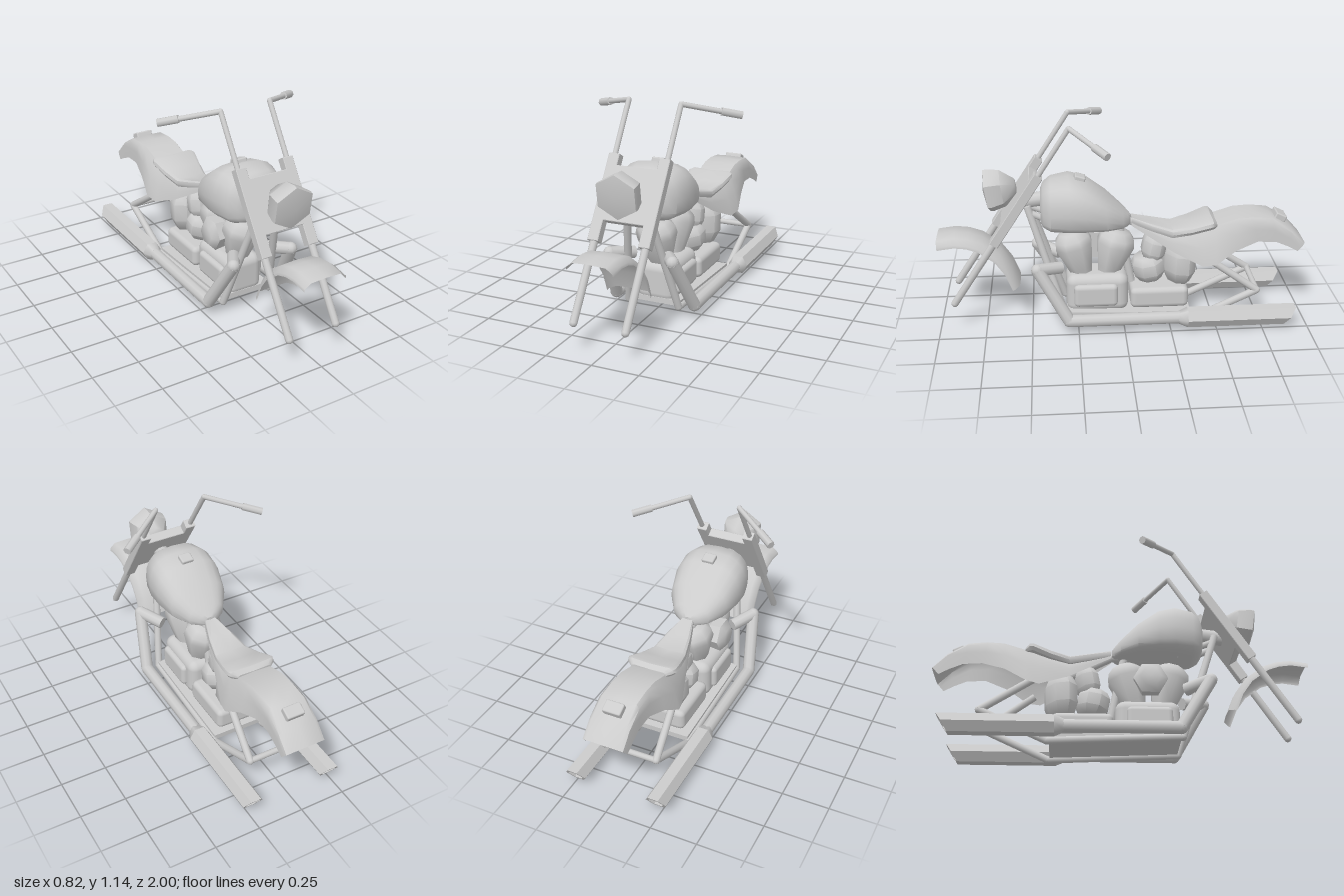
import * as THREE from 'three';
import { toCreasedNormals } from 'three/addons/utils/BufferGeometryUtils.js';
import { RoundedBoxGeometry } from 'three/addons/geometries/RoundedBoxGeometry.js';

const V = (x, y, z) => new THREE.Vector3(x, y, z);
const solid = new THREE.MeshStandardMaterial({ color: 0xcccccc });
const thin = new THREE.MeshStandardMaterial({ color: 0xcccccc, side: THREE.DoubleSide });

export function createModel() {
  const model = new THREE.Group();

  const add = (name, geo, pos = [0, 0, 0], rot = [0, 0, 0], mat = solid) => {
    const mesh = new THREE.Mesh(geo, mat);
    mesh.name = name;
    mesh.position.set(...pos);
    mesh.rotation.set(...rot);
    model.add(mesh);
    return mesh;
  };

  // Skin over rings listed front to back, each counter-clockwise seen from the front
  const loft = (rings, closed = true, crease = 0.7) => {
    const n = rings[0].length, pos = [], idx = [];
    rings.forEach(r => r.forEach(p => pos.push(p.x, p.y, p.z)));
    for (let j = 0; j < rings.length - 1; j++) {
      for (let i = 0; i < (closed ? n : n - 1); i++) {
        const a = j * n + i, b = j * n + (i + 1) % n;
        idx.push(a, a + n, b, b, a + n, b + n);
      }
    }
    if (closed) {
      const last = (rings.length - 1) * n;
      for (let i = 1; i < n - 1; i++) idx.push(0, i, i + 1, last, last + i + 1, last + i);
    }
    const g = new THREE.BufferGeometry();
    g.setAttribute('position', new THREE.Float32BufferAttribute(pos, 3));
    g.setIndex(idx);
    return toCreasedNormals(g, crease);
  };

  // Straight tubes through a list of points, with round joints
  const rod = (name, pts, r, sides = 10) => {
    pts.forEach((p, i) => {
      if (i > 0 && i < pts.length - 1) add(name + 'Joint', new THREE.SphereGeometry(r, sides, 8), p.toArray());
      if (i === 0) return;
      const d = p.clone().sub(pts[i - 1]);
      const seg = add(name, new THREE.CylinderGeometry(r, r, d.length(), sides),
        p.clone().add(pts[i - 1]).multiplyScalar(0.5).toArray());
      seg.quaternion.setFromUnitVectors(V(0, 1, 0), d.normalize());
    });
  };

  // Few-sided turned part, profile as [radius, height]
  const turned = (name, profile, sides, pos, rot, scale = [1, 1, 1]) => {
    const geo = new THREE.LatheGeometry(profile.map(p => new THREE.Vector2(...p)), sides);
    add(name, toCreasedNormals(geo, 0.9), pos, rot).scale.set(...scale);
  };

  // Fork plate with two arms up and two legs down
  const outline = [[-.165, 0], [-.112, 0], [-.112, .107], [.112, .107], [.112, 0], [.165, 0], [.165, .448],
    [.112, .448], [.112, .388], [-.112, .388], [-.112, .448], [-.165, .448]];
  const plate = new THREE.ExtrudeGeometry(new THREE.Shape(outline.map(p => new THREE.Vector2(...p))),
    { depth: 0.045, bevelEnabled: true, bevelSize: 0.003, bevelThickness: 0.003, bevelSegments: 1 });
  plate.translate(0, 0, -0.0225);
  add('forkPlate', plate, [0, 0.51, 0.69], [-0.579, 0, 0]);

  // Headlight
  turned('headlight', [[0, -.105], [.045, -.1], [.105, -.03], [.12, .035], [.118, .055], [0, .075]], 6,
    [0, 0.765, 0.668], [Math.PI / 2 + 0.15, 0, 0]);

  // Steering neck
  rod('steeringNeck', [V(0, .69, .56), V(0, .71, .4)], 0.04);

  for (const s of [-1, 1]) {
    // Fork tubes, handlebar and grip
    rod('forkTube', [V(s * .14, .165, .915), V(s * .14, .54, .67)], 0.02);
    add('forkTip', new THREE.SphereGeometry(0.02, 10, 8), [s * .14, .165, .915]);
    const bend = V(s * .145, 1.138, .283), end = V(s * .4, 1.068, .1);
    rod('handlebar', [V(s * .145, .86, .463), bend, end], 0.014);
    rod('grip', [bend.clone().lerp(end, 0.66), end], 0.021, 8);

    // Frame: down tube, bottom rail, rear triangle
    rod('frameRail', [V(s * .05, .68, .51), V(s * .145, .06, .315), V(s * .15, .028, -.38),
      V(s * .148, .19, -.73), V(s * .12, .375, -.46)], 0.02);
    rod('frontFrameTube', [V(s * .05, .64, .49), V(s * .06, .56, .3)], 0.018);

    // Exhaust pipe and open muffler with a slanted end
    rod('exhaustPipe', [V(s * .1, .34, .34), V(s * .178, .365, .465), V(s * .228, .08, .3), V(s * .228, .08, -.31)], 0.034);
    const hex = (Path, r) => new Path(Array.from({ length: 6 }, (_, i) =>
      new THREE.Vector2(r * Math.cos(i * Math.PI / 3), r * Math.sin(i * Math.PI / 3))));
    const shape = hex(THREE.Shape, 0.056);
    shape.holes.push(hex(THREE.Path, 0.042));
    const muffler = new THREE.ExtrudeGeometry(shape, { depth: 0.59, bevelEnabled: false });
    const p = muffler.attributes.position;
    for (let i = 0; i < p.count; i++) {
      if (p.getZ(i) < 0.01) p.setZ(i, (0.048 - p.getY(i)) * 0.64);
    }
    muffler.computeVertexNormals();
    add('muffler', muffler, [s * .23, .08, -.93]);
    const cone = new THREE.CylinderGeometry(0.034, 0.056, 0.05, 6).rotateY(Math.PI / 2).rotateX(Math.PI / 2);
    add('mufflerCone', cone, [s * .23, .08, -.315]);
  }
  rod('rearCrossbar', [V(-.15, .19, -.73), V(.15, .19, -.73)], 0.016);

  // Fuel tank: [z, half width, bottom, top]
  const pw = (v, e) => Math.sign(v) * Math.abs(v) ** e;
  const tank = [[.44, .1, .585, .75], [.425, .135, .565, .785], [.385, .17, .548, .815], [.29, .193, .545, .832],
    [.2, .192, .545, .808], [.09, .166, .545, .728], [0, .105, .545, .645], [-.03, .06, .547, .616], [-.045, .03, .555, .6]]
    .map(([z, w, b, t]) => Array.from({ length: 20 }, (_, i) => {
      const a = i / 20 * Math.PI * 2, m = b + (t - b) * 0.42, sn = Math.sin(a);
      return V(w * pw(Math.cos(a), .65), m + (sn > 0 ? t - m : m - b) * pw(sn, sn > 0 ? .85 : .5), z);
    }));
  add('fuelTank', loft(tank));
  add('tankCap', new RoundedBoxGeometry(.07, .035, .06, 2, .008), [0, .817, .228], [-.3, 0, 0]);

  // Front fender: arc in (z, y) with a turned-down lip
  const arc = [[1, .515], [.905, .527], [.83, .518], [.757, .492], [.66, .42], [.6, .335], [.56, .235]];
  const lip = [[.122, .045], [.12, .03], [.088, .004], [0, 0], [-.088, .004], [-.12, .03], [-.122, .045]];
  add('frontFender', loft(arc.map(([z, y], i) => {
    const a = arc[Math.max(i - 1, 0)], b = arc[Math.min(i + 1, arc.length - 1)];
    const l = Math.hypot(b[0] - a[0], b[1] - a[1]), tz = (b[0] - a[0]) / l, ty = (b[1] - a[1]) / l;
    return lip.map(([x, d]) => V(x, y + tz * d, z - ty * d));
  }), false, 1), [0, 0, 0], [0, 0, 0], thin);

  // Rear fender: [top z, top y, bottom z, bottom y, top half width, bottom half width]
  const rear = [[-.05, .575, -.05, .545, .03, .035], [-.27, .505, -.28, .405, .075, .1], [-.43, .535, -.43, .34, .1, .15],
    [-.5, .56, -.5, .355, .11, .166], [-.62, .597, -.61, .425, .11, .142], [-.71, .602, -.73, .465, .11, .118],
    [-.81, .592, -.83, .46, .11, .115], [-.92, .525, -.9, .43, .11, .115], [-.995, .445, -.955, .4, .11, .115]]
    .map(([zt, yt, zb, yb, wt, wb]) => {
      const at = (x, k) => V(x, yt + (yb - yt) * k, zt + (zb - zt) * k);
      const half = [[wb, 1], [wt + (wb - wt) * .6, .5], [wt, .16], [wt * .85, .02]];
      return [...half.map(h => at(...h)), at(0, 0), ...half.reverse().map(([x, k]) => at(-x, k))];
    });
  add('rearFender', loft(rear, false, 0.8), [0, 0, 0], [0, 0, 0], thin);
  add('tailLight', new RoundedBoxGeometry(.1, .04, .065, 2, .008), [0, .572, -.865], [-.45, 0, 0]);

  // Seat: [z, half width, top, thickness]
  const seat = [[-.05, .035, .592, .035], [-.16, .07, .56, .04], [-.27, .095, .532, .045], [-.37, .117, .555, .045],
    [-.465, .138, .588, .045], [-.485, .13, .59, .045], [-.508, .1, .57, .025]]
    .map(([z, w, t, h]) => [[1, -.6], [.96, -.2], [.82, 0], [0, -.12], [-.82, 0], [-.96, -.2], [-1, -.6], [-.9, -1], [.9, -1]]
      .map(([x, y]) => V(x * w, t + y * h, z)));
  add('seat', loft(seat));

  // Engine: two leaning cylinders over the crankcase
  const jug = [[0, -.14], [.055, -.14], [.07, -.08], [.108, .06], [.1, .1], [.065, .135], [0, .145]];
  turned('frontCylinder', jug, 8, [0, .375, .25], [.25, Math.PI / 8, 0]);
  turned('rearCylinder', jug, 8, [0, .375, .05], [-.25, Math.PI / 8, 0]);
  turned('airCleaner', [[0, -.05], [.085, -.05], [.092, .015], [.055, .045], [0, .045]], 6,
    [-.11, .395, .155], [0, 0, Math.PI / 2]);
  add('crankcase', new RoundedBoxGeometry(.22, .22, .34, 3, .05), [0, .17, .14]);
  add('crankCover', new RoundedBoxGeometry(.27, .13, .24, 2, .025), [0, .17, .15]);
  add('gearbox', new RoundedBoxGeometry(.24, .12, .32, 2, .03), [0, .14, -.2]);
  add('bellyPlate', new THREE.BoxGeometry(.3, .03, .68), [0, .062, -.03], [-.04, 0, 0]);

  // Parts under the seat
  const barrel = [[0, -.5], [.7, -.5], [1, -.2], [1, .25], [.75, .5], [0, .5]];
  turned('starter', barrel, 8, [0, .285, -.145], [.2, Math.PI / 8, 0], [.1, .14, .09]);
  turned('oilFilter', barrel, 8, [0, .405, -.175], [-.2, Math.PI / 8, 0], [.08, .15, .065]);
  turned('oilTank', barrel, 8, [0, .315, -.315], [-.05, Math.PI / 8, 0], [.12, .22, .085]);
  rod('seatPost', [V(0, .56, .02), V(0, .2, -.05)], 0.022);
  rod('backbone', [V(0, .57, .3), V(0, .56, -.05), V(0, .43, -.3)], 0.022);

  return model;
}
